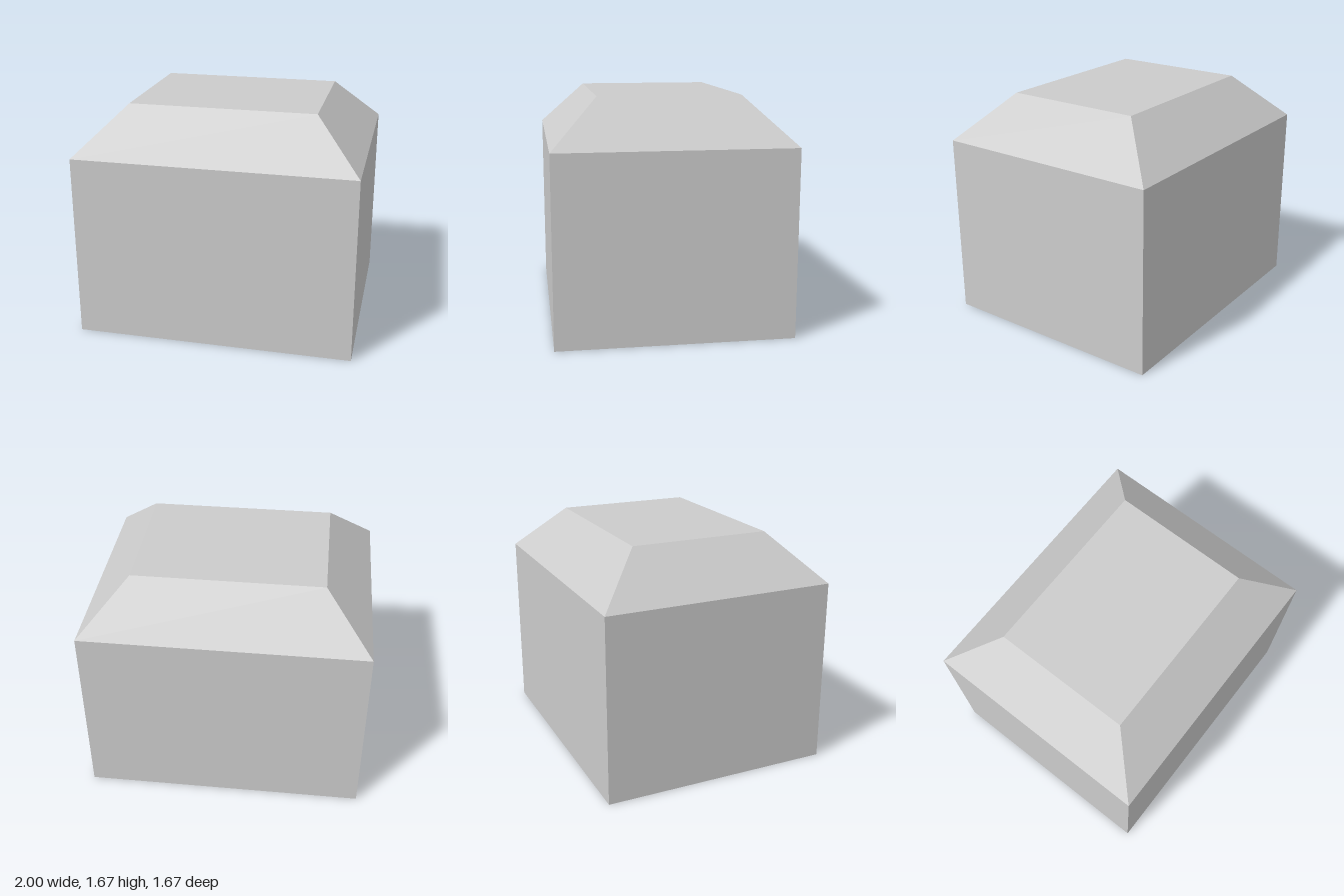
import * as THREE from 'three';

const WIDTH = 2, DEPTH = 5 / 3, HEIGHT = 5 / 3, BEVEL = 1 / 3;

export function createModel() {
  const group = new THREE.Group();
  group.name = 'bevelledBlock';

  // Two-tier box: straight walls below, 45 degree slopes up to a flat top
  const geometry = new THREE.BoxGeometry(WIDTH, HEIGHT, DEPTH, 1, 2, 1);
  const pos = geometry.attributes.position;
  for (let i = 0; i < pos.count; i++) {
    const x = pos.getX(i), y = pos.getY(i), z = pos.getZ(i);
    const isTop = y > 0.01, isBottom = y < -0.01;
    const inset = isTop ? BEVEL : 0;
    const level = isTop ? HEIGHT : isBottom ? 0 : HEIGHT - BEVEL;
    pos.setXYZ(i, x - Math.sign(x) * inset, level, z - Math.sign(z) * inset);
  }
  geometry.computeVertexNormals();

  const material = new THREE.MeshStandardMaterial({ color: 0xcccccc, flatShading: true });
  const block = new THREE.Mesh(geometry, material);
  block.name = 'block';
  group.add(block);
  return group;
}
